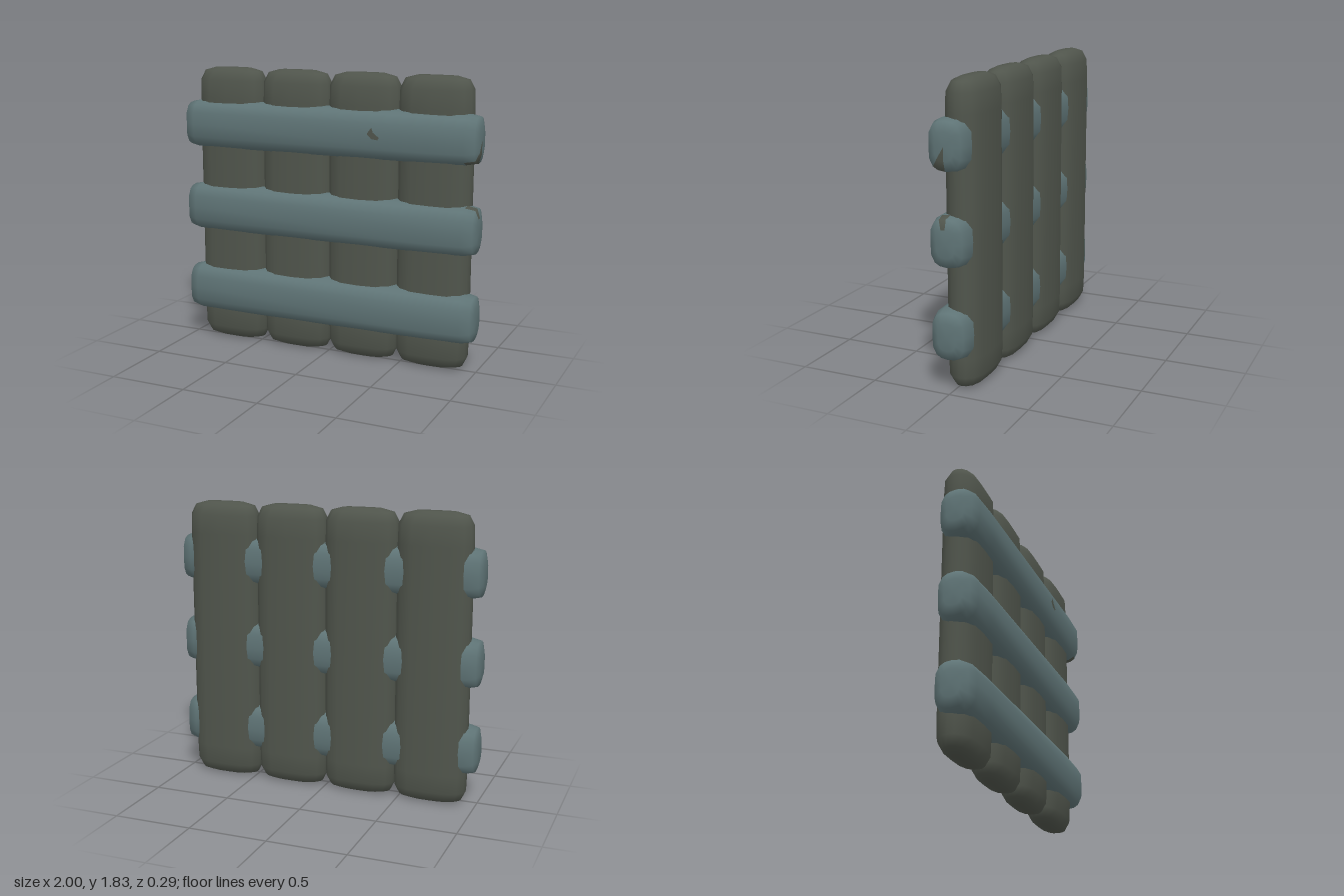
import * as THREE from 'three';

const plankMat = new THREE.MeshStandardMaterial({ color: 0x50554c });
plankMat.name = 'dark wood';
const barMat = new THREE.MeshStandardMaterial({ color: 0x5f7476 });
barMat.name = 'blue grey';

// Mirrors a quarter section [x, z] into a closed loop running from +x to +z
function fullSection(q) {
  const n = q.length - 1;
  const loop = [];
  for (let i = 0; i < n; i++) loop.push([q[i][0], q[i][1]]);
  for (let i = n; i > 0; i--) loop.push([-q[i][0], q[i][1]]);
  for (let i = 0; i < n; i++) loop.push([-q[i][0], -q[i][1]]);
  for (let i = n; i > 0; i--) loop.push([q[i][0], -q[i][1]]);
  return loop;
}

// Soft-ended beam along y; ends = [inset, width scale, depth scale].
// worn(ring, segment) picks faces of the second material, counted from the +y tip.
function beam(quarter, length, ends, worn = () => false) {
  const loop = fullSection(quarter);
  const n = loop.length;
  const h = length / 2;
  const rings = [
    ...ends.map(([d, a, b]) => [d - h, a, b]),
    ...[...ends].reverse().map(([d, a, b]) => [h - d, a, b]),
  ];
  const pos = [];
  for (const [y, a, b] of rings) for (const [x, z] of loop) pos.push(x * a, y, z * b);
  const bottom = rings.length * n;
  const top = bottom + 1;
  pos.push(0, -h, 0, 0, h, 0);

  const base = [];
  const patch = [];
  const last = rings.length - 1;
  for (let s = 0; s < n; s++) {
    const t = (s + 1) % n;
    base.push(bottom, s, t);
    (worn(0, s) ? patch : base).push(top, last * n + t, last * n + s);
    for (let r = 0; r < last; r++) {
      const a = r * n + s, b = r * n + t;
      (worn(last - r, s) ? patch : base).push(a, a + n, b, b, a + n, b + n);
    }
  }
  const g = new THREE.BufferGeometry();
  g.setAttribute('position', new THREE.Float32BufferAttribute(pos, 3));
  g.setIndex([...base, ...patch]);
  g.addGroup(0, base.length, 0);
  if (patch.length) g.addGroup(base.length, patch.length, 1);
  g.computeVertexNormals();
  return g;
}

export function createModel() {
  const model = new THREE.Group();
  model.name = 'plankPanel';

  // Four upright planks
  const plankSection = [[0.235, 0], [0.228, 0.04], [0.195, 0.082], [0.125, 0.11], [0, 0.115]];
  const plankEnds = [[0, 0.55, 0.35], [0.02, 0.86, 0.68], [0.08, 0.985, 0.96], [0.2, 1, 1]];
  const plankGeo = beam(plankSection, 1.825, plankEnds);
  for (let i = 0; i < 4; i++) {
    const plank = new THREE.Mesh(plankGeo, [plankMat]);
    plank.name = `plank${i + 1}`;
    plank.position.set((i - 1.5) * 0.467, 0.917, -0.03);
    model.add(plank);
  }

  // Three crossbars, with worn patches at the +x ends of the upper two
  const barSection = [[0.157, 0], [0.15, 0.06], [0.13, 0.1], [0.08, 0.13], [0, 0.133]];
  const barEnds = [[0, 0.53, 0.42], [0.017, 0.9, 0.75], [0.08, 0.98, 0.93], [0.3, 1, 1]];
  const wear = [
    () => false,
    (r, s) => r >= 1 && r <= 2 && s === 7,
    (r, s) => r <= 2 && s <= 1,
  ];
  wear.forEach((worn, i) => {
    const bar = new THREE.Mesh(beam(barSection, 2, barEnds, worn), [barMat, plankMat]);
    bar.name = `crossbar${i + 1}`;
    bar.rotation.z = -Math.PI / 2;
    bar.position.set(0, 0.351 + i * 0.555, 0.012);
    model.add(bar);
  });

  // Small chip on the face of the top crossbar
  const chipShape = new THREE.Shape(
    [[-0.04, 0], [-0.01, 0.04], [0, 0.01], [0.04, -0.02], [0.03, -0.035], [-0.01, -0.03]]
      .map(([x, y]) => new THREE.Vector2(x, y)).reverse());
  const chip = new THREE.Mesh(new THREE.ShapeGeometry(chipShape), plankMat);
  chip.name = 'wornChip';
  chip.position.set(0.355, 1.475, 0.147);
  model.add(chip);

  return model;
}
